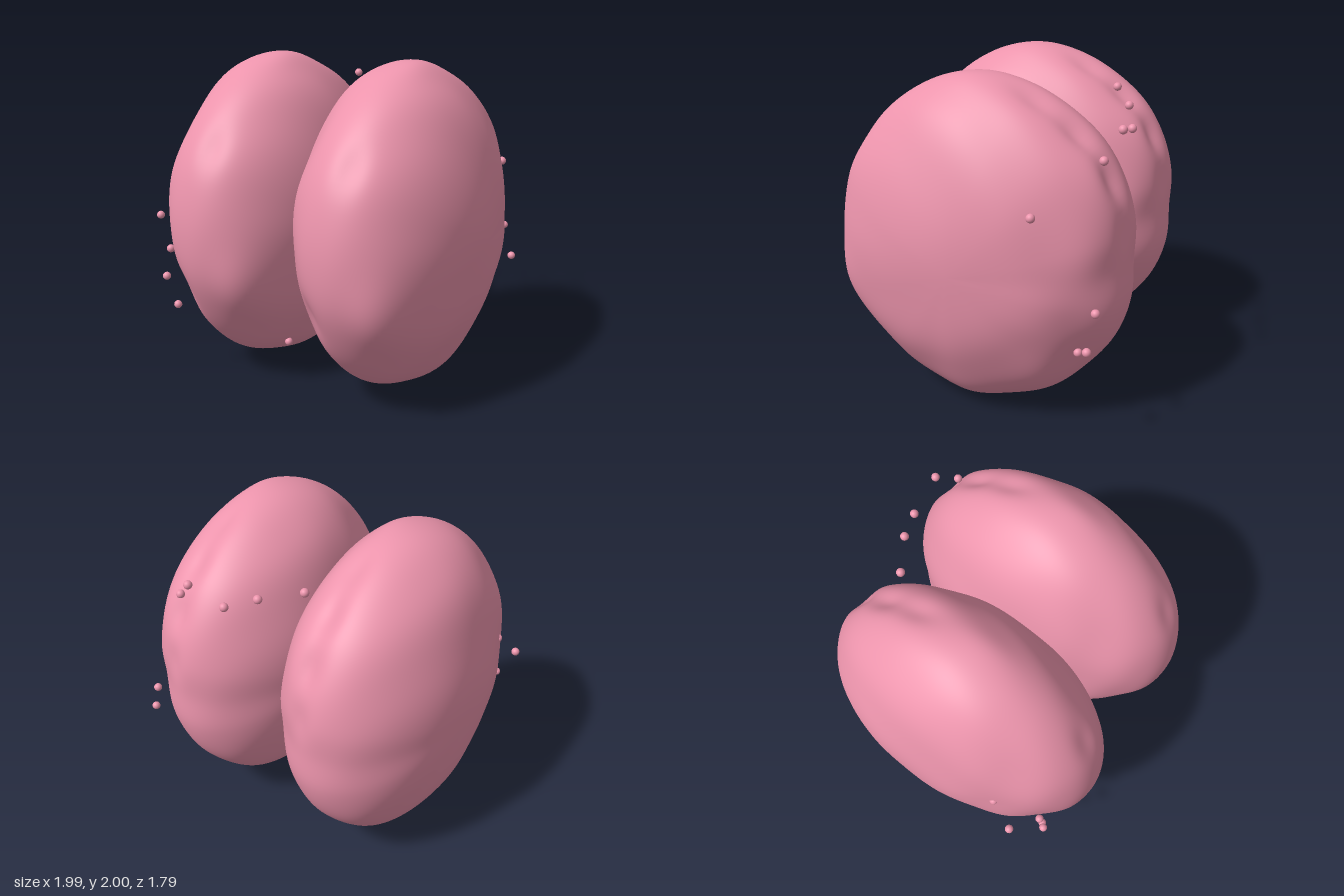
import * as THREE from 'three';
import { mergeVertices } from 'three/addons/utils/BufferGeometryUtils.js';

// Rim radius every 15 degrees, from the top over the front, bottom and back
const RIM = [
  1.0, 0.99, 0.967, 0.945, 0.93, 0.91, 0.905, 0.91, 0.912, 0.93, 0.958, 0.967,
  0.995, 0.975, 0.965, 0.935, 0.925, 0.905, 0.875, 0.905, 0.93, 0.953, 0.965, 0.985,
];

// Soft dents (negative) and bumps: direction, depth, spread
const DENTS = [
  // groove over the upper back with a ridge beside it
  [0.17, 0.93, -0.35, -0.03, 0.1],
  [0.17, 0.78, -0.6, -0.04, 0.1],
  [0.17, 0.55, -0.82, -0.04, 0.1],
  [0.17, 0.25, -0.95, -0.025, 0.1],
  [0.4, 0.55, -0.75, 0.025, 0.15],
  // front
  [0.1, 0.57, 0.82, -0.02, 0.1],
  [0.45, -0.3, 0.84, 0.045, 0.18],
  [-0.4, -0.42, 0.82, -0.035, 0.12],
  [-0.45, 0.3, 0.84, 0.02, 0.2],
  // top and underside
  [-0.6, 0.78, 0.1, 0.03, 0.2],
  [0.2, 0.98, 0.1, 0.012, 0.12],
  [-0.1, -0.97, -0.2, 0.012, 0.12],
  [0.45, -0.5, -0.72, -0.03, 0.15],
  [-0.4, -0.6, -0.7, 0.02, 0.2],
].map(([x, y, z, depth, spread]) => ({ dir: new THREE.Vector3(x, y, z).normalize(), depth, spread }));

// Flattened, lumpy ellipsoid whose short axis lies along x
function lobeGeometry() {
  const rim = new THREE.CatmullRomCurve3(RIM.map((r, i) => {
    const a = (i / RIM.length) * Math.PI * 2;
    return new THREE.Vector3(0, r * Math.cos(a), r * Math.sin(a));
  }), true);
  const geo = new THREE.SphereGeometry(1, 144, 96);
  const pos = geo.attributes.position;
  const d = new THREE.Vector3();
  for (let i = 0; i < pos.count; i++) {
    d.set(pos.getY(i), pos.getZ(i), pos.getX(i));
    const ring = Math.hypot(d.y, d.z);
    const turn = Math.atan2(d.z, d.y) / (Math.PI * 2);
    const r = rim.getPoint((turn + 1) % 1).length();
    // ripples fade out at the rim so that the outline stays as given
    let swell = 1 + 0.006 * (1 - ring ** 8)
      * (Math.sin(9 * d.y + 4 * d.z + 6 * d.x) + Math.sin(10 * d.z - 5 * d.y + 7 * d.x));
    for (const { dir, depth, spread } of DENTS) {
      swell += depth * Math.exp(-d.distanceToSquared(dir) / (2 * spread * spread));
    }
    pos.setXYZ(i, 0.54 * d.x * swell, d.y * r * swell, d.z * r * swell);
  }
  geo.deleteAttribute('uv');
  geo.deleteAttribute('normal');
  const smooth = mergeVertices(geo, 1e-5);
  smooth.computeVertexNormals();
  return smooth;
}

// Small beads floating around the lobes
const BEADS = [
  // arc over the upper back
  [-0.21, 1.82, -0.57], [0, 1.77, -0.7], [0.18, 1.69, -0.77],
  [0.42, 1.75, -0.78], [0.55, 1.61, -0.72], [0.88, 1.37, -0.44],
  // arc at the lower back
  [0.8, 0.85, -0.78], [0.87, 0.65, -0.76], [0.7, 0.53, -0.66],
  // arc at the lower front
  [-0.89, 1.18, 0.47], [-0.96, 1.01, 0.62], [-0.79, 0.85, 0.73],
  [-0.8, 0.68, 0.77], [-0.75, 0.49, 0.74],
  // underneath, beside the gap
  [0, 0.31, 0.12], [-0.2, 0.2, 0.33],
];

export function createModel() {
  const model = new THREE.Group();
  const material = new THREE.MeshStandardMaterial({ color: 0xec94ac });

  // the two lobes overlap slightly in the middle
  const lobe = lobeGeometry();
  for (const [name, x] of [['leftLobe', 0.45], ['rightLobe', -0.455]]) {
    const mesh = new THREE.Mesh(lobe, material);
    mesh.name = name;
    mesh.position.set(x, 1, 0);
    model.add(mesh);
  }

  const beads = new THREE.Group();
  beads.name = 'beads';
  const bead = new THREE.SphereGeometry(0.025, 20, 14);
  for (const p of BEADS) {
    const mesh = new THREE.Mesh(bead, material);
    mesh.name = 'bead';
    mesh.position.set(...p);
    beads.add(mesh);
  }
  model.add(beads);
  return model;
}
